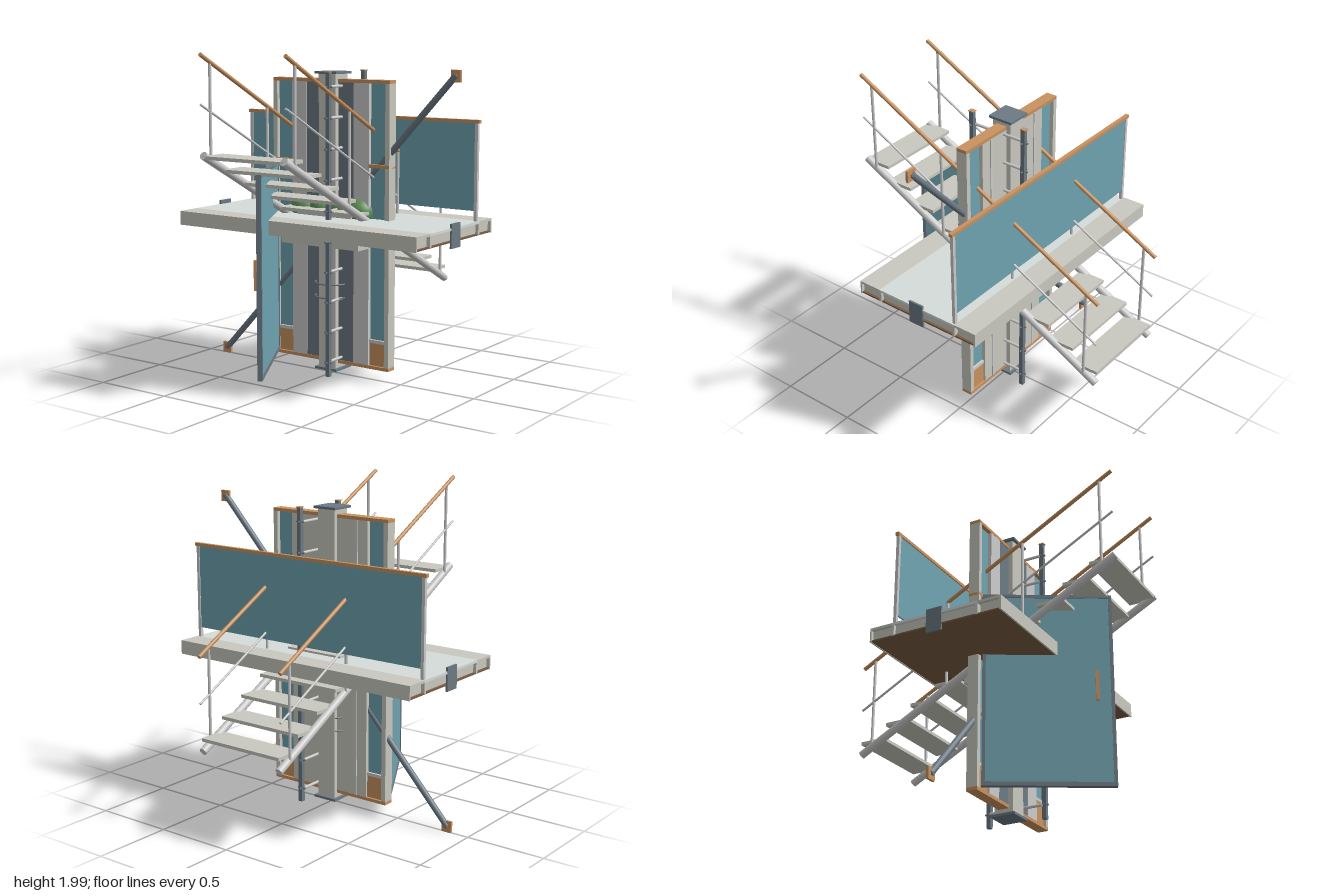
import * as THREE from 'three';

const mat = (color) => new THREE.MeshStandardMaterial({ color });
const M = {
  light: mat(0xcccccc), concrete: mat(0xc9c9c0), pale: mat(0xd6dcda), dark: mat(0x6c7a84),
  wood: mat(0xc9925f), soffit: mat(0x7a5c42), glass: mat(0x6fa3b0), green: mat(0x5f8f58),
};

export function createModel() {
  const root = new THREE.Group();

  const group = (name, parent = root) => {
    const g = new THREE.Group();
    g.name = name;
    parent.add(g);
    return g;
  };
  const add = (parent, name, geometry, material) => {
    const m = new THREE.Mesh(geometry, material);
    m.name = name;
    parent.add(m);
    return m;
  };
  // Box given by its extents on each axis
  const box = (parent, name, material, x0, x1, y0, y1, z0, z1) => {
    const m = add(parent, name, new THREE.BoxGeometry(x1 - x0, y1 - y0, z1 - z0), material);
    m.position.set((x0 + x1) / 2, (y0 + y1) / 2, (z0 + z1) / 2);
    return m;
  };
  // Round bar between two points
  const bar = (parent, name, material, a, b, r, sides = 16) => {
    const p = new THREE.Vector3(...a), q = new THREE.Vector3(...b);
    const d = q.clone().sub(p);
    const m = add(parent, name, new THREE.CylinderGeometry(r, r, d.length(), sides), material);
    m.position.copy(p).add(q).multiplyScalar(0.5);
    m.quaternion.setFromUnitVectors(new THREE.Vector3(0, 1, 0), d.normalize());
    return m;
  };

  // Floor slab: deck, edge beams, recessed ends and timber soffit
  const floor = group('floorSlab');
  box(floor, 'deck', M.pale, -0.865, 0.865, 0.985, 1.0, -0.28, 0.28);
  box(floor, 'core', M.concrete, -0.845, 0.845, 0.925, 0.985, -0.28, 0.28);
  box(floor, 'soffit', M.soffit, -0.86, 0.86, 0.915, 0.925, -0.425, 0.425);
  for (const s of [-1, 1]) {
    const z0 = s > 0 ? 0.28 : -0.43;
    box(floor, 'edgeStrip', M.concrete, -0.865, 0.865, 0.985, 1.0, z0, z0 + 0.15);
    box(floor, 'edgeCore', M.concrete, -0.845, 0.845, 0.925, 0.985, z0 + 0.01, z0 + 0.14);
    const zf = s > 0 ? 0.42 : -0.43;
    box(floor, 'edgeBeam', M.concrete, -0.865, 0.865, 0.913, 0.999, zf, zf + 0.01);
    for (const e of [-1, 1]) {
      const x0 = e > 0 ? 0.845 : -0.865;
      box(floor, 'endRib', M.concrete, x0, x0 + 0.02, 0.92, 0.985, s * 0.275 - 0.008, s * 0.275 + 0.008);
    }
    const xb = s * 0.862;
    box(floor, 'endBracket', M.dark, xb - 0.006, xb + 0.006, 0.88, 1.025, -0.05, 0.05);
  }

  // Column with end plates
  const column = group('column');
  box(column, 'shaft', M.concrete, -0.062, 0.062, 0.05, 1.865, -0.062, 0.062);
  for (const y of [0.035, 1.86]) {
    box(column, 'endPlate', M.dark, -0.08, 0.08, y, y + 0.015, -0.08, 0.08);
  }
  for (const y of [0.495, 0.58]) {
    const hoop = add(column, 'hoop', new THREE.TorusGeometry(0.11, 0.005, 8, 32, Math.PI * 1.5), M.dark);
    hoop.rotation.set(Math.PI / 2, 0, -Math.PI / 4);
    hoop.position.y = y;
  }

  // Wall panel: timber plates, jambs, cladding, windows
  const wall = group('wall');
  box(wall, 'bottomPlate', M.wood, -0.43, 0.43, 0.08, 0.1, -0.035, 0.035);
  box(wall, 'topPlate', M.wood, -0.43, 0.43, 1.81, 1.83, -0.035, 0.035);
  box(wall, 'backCladding', M.concrete, -0.285, 0.285, 0.1, 1.81, -0.034, 0.015);
  for (const s of [-1, 1]) {
    const side = (name, m, a, b, y0, y1, z0, z1) =>
      box(wall, name, m, Math.min(s * a, s * b), Math.max(s * a, s * b), y0, y1, z0, z1);
    side('jamb', M.concrete, 0.4, 0.43, 0.1, 1.81, -0.035, 0.035);
    side('darkCladding', M.dark, 0.06, 0.175, 0.1, 1.81, 0.015, 0.03);
    side('lightCladding', M.light, 0.175, 0.285, 0.1, 1.81, 0.015, 0.034);
    side('rib', M.light, 0.2, 0.215, 0.1, 1.81, -0.04, -0.034);
    side('upperWindow', M.glass, 0.285, 0.4, 1.33, 1.81, -0.01, 0.01);
    side('windowSill', M.wood, 0.285, 0.43, 1.31, 1.33, -0.036, 0.036);
    side('lowerWindow', M.glass, 0.285, 0.4, 0.26, 1.31, -0.01, 0.01);
    side('lowerRail', M.light, 0.285, 0.4, 0.24, 0.26, -0.025, 0.025);
    side('kickPanel', M.wood, 0.285, 0.4, 0.1, 0.24, -0.02, 0.02);
  }

  // Open door swung out about its hinge
  const door = group('door');
  door.position.set(-0.4, 0, 0.045);
  door.rotation.y = -Math.PI / 3;
  const W = 0.765;
  box(door, 'leaf', M.glass, 0.01, W - 0.01, 0.12, 1.3, -0.01, 0.01);
  box(door, 'bottomRail', M.dark, 0, W, 0.105, 0.13, -0.015, 0.015);
  box(door, 'topRail', M.dark, 0, W, 1.29, 1.31, -0.015, 0.015);
  box(door, 'hingeStile', M.dark, 0, 0.02, 0.13, 1.29, -0.015, 0.015);
  box(door, 'lockStile', M.dark, W - 0.02, W, 0.13, 1.29, -0.015, 0.015);
  box(door, 'handle', M.wood, 0.655, 0.675, 0.62, 0.8, 0.03, 0.045);
  for (const y of [0.65, 0.76]) box(door, 'handleStud', M.wood, 0.66, 0.67, y, y + 0.01, 0.01, 0.03);

  // Glass balustrade
  const balustrade = group('balustrade');
  box(balustrade, 'pane', M.glass, -0.835, 0.835, 1.06, 1.58, -0.276, -0.266);
  box(balustrade, 'handrail', M.wood, -0.865, 0.865, 1.58, 1.6, -0.283, -0.259);
  for (const s of [-1, 1]) {
    box(balustrade, 'post', M.light, s * 0.845 - 0.01, s * 0.845 + 0.01, 1.0, 1.58, -0.281, -0.261);
  }

  // Straight stair with tube stringers, treads and side rails
  const stair = group('stair');
  const slopeY = (z, offset = 0) => 0.958 + 0.531 * z + offset;
  for (let i = 0; i < 10; i++) {
    const z = 0.783 - 0.174 * i, y = 1.415 - 0.0924 * i;
    box(stair, 'tread', M.concrete, -0.29, 0.29, y - 0.02, y, z - 0.086, z + 0.086);
  }
  for (const s of [-1, 1]) {
    const run = (name, m, x, offset, r) =>
      bar(stair, name, m, [s * x, slopeY(0.865, offset), 0.865], [s * x, slopeY(-0.865, offset), -0.865], r);
    run('stringer', M.light, 0.288, 0, 0.024);
    run('handrail', M.wood, 0.302, 0.57, 0.012);
    run('midRail', M.light, 0.302, 0.288, 0.007);
    for (const z of [0.783, 0.261, -0.261, -0.783]) {
      bar(stair, 'railPost', M.light, [s * 0.302, slopeY(z), z], [s * 0.302, slopeY(z, 0.57), z], 0.009, 12);
    }
  }

  // Ladder
  const ladder = group('ladder');
  for (const s of [-1, 1]) {
    box(ladder, 'ladderRail', M.dark, 0.086, 0.112, 0.035, 1.875, s * 0.186 - 0.014, s * 0.186 + 0.014);
    box(ladder, 'railCap', M.wood, 0.082, 0.114, 1.875, 1.88, s * 0.188 - 0.018, s * 0.188 + 0.018);
  }
  for (let i = 0; i < 10; i++) {
    const y = 0.12 + 0.1855 * i;
    bar(ladder, 'rung', M.light, [0.085, y, -0.175], [0.085, y, 0.175], 0.009, 12);
    for (const s of [-1, 1]) {
      bar(ladder, 'rungBolt', M.dark, [0.095, y, s * 0.195], [0.095, y, s * 0.212], 0.006, 8);
      bar(ladder, 'sideBolt', M.dark, [0.068, y, s * 0.186], [0.125, y, s * 0.186], 0.005, 8);
    }
  }

  // Diagonal brace with timber end plates
  const brace = group('brace');
  bar(brace, 'braceTube', M.dark, [-0.855, 0.04, 0], [0.855, 1.87, 0], 0.019);
  for (const [x, y] of [[-0.855, 0.04], [0.855, 1.865]]) {
    box(brace, 'bracePlate', M.wood, x - 0.032, x + 0.032, y - 0.035, y + 0.035, -0.008, 0.008);
    bar(brace, 'pin', M.dark, [x, y, -0.018], [x, y, 0.018], 0.009, 12);
  }

  // Planter sunk in the floor, with clipped shrubs
  const planter = group('planter');
  box(planter, 'trough', M.concrete, -0.285, 0.285, 0.82, 0.985, -0.147, 0.147);
  box(planter, 'basePlate', M.concrete, -0.2, 0.2, 1.0, 1.012, -0.187, 0.1);
  box(planter, 'innerPlate', M.dark, -0.14, 0.14, 1.012, 1.022, -0.137, 0.08);
  for (const x of [-0.21, -0.07, 0.07, 0.21]) {
    const shrub = add(planter, 'shrub', new THREE.SphereGeometry(0.09, 24, 16), M.green);
    shrub.position.set(x, 1.03, 0);
  }

  return root;
}
